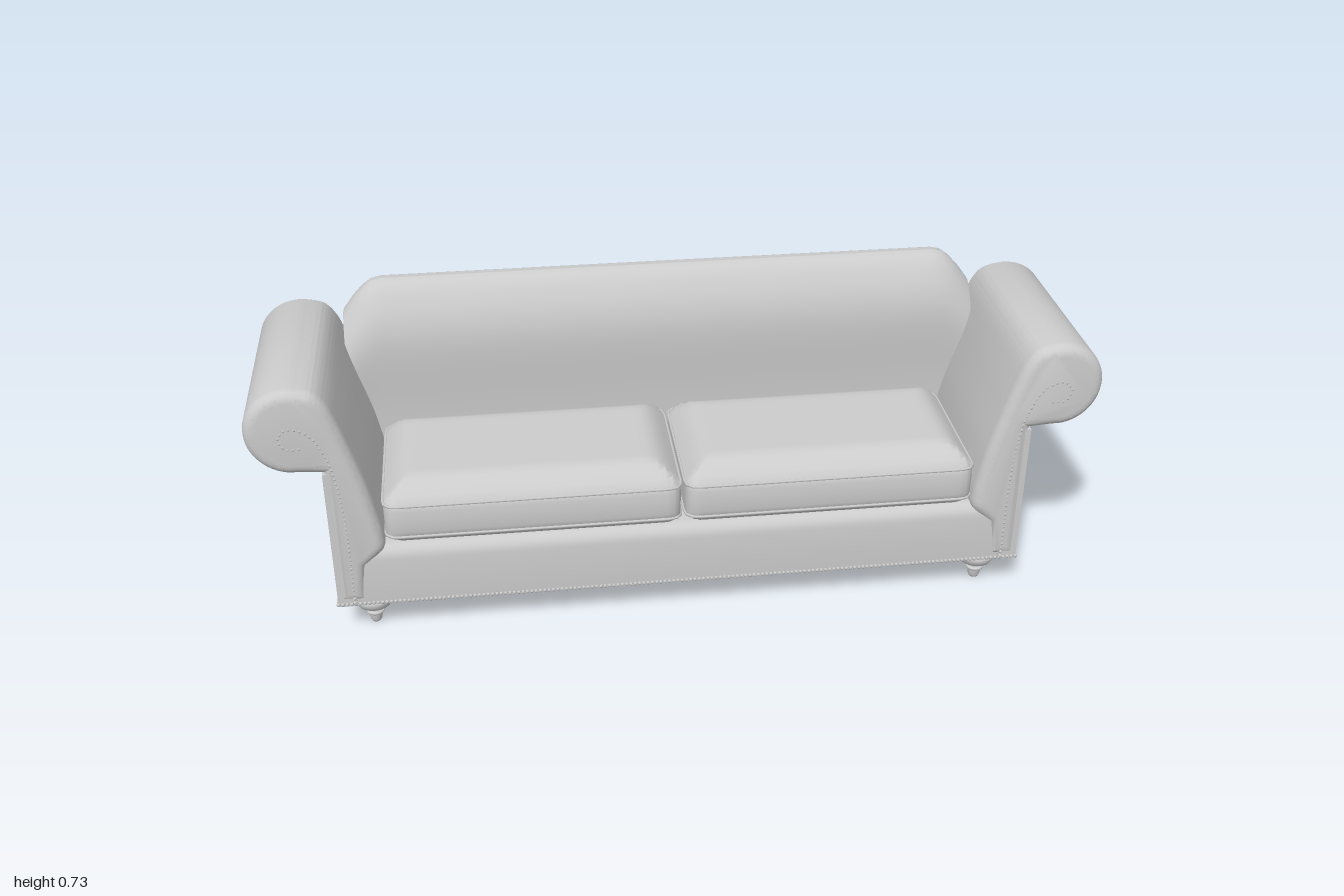
import * as THREE from 'three';
import { mergeGeometries, toCreasedNormals } from 'three/addons/utils/BufferGeometryUtils.js';

const material = new THREE.MeshStandardMaterial({ color: 0xcccccc });

function add(parent, name, geometry) {
  const mesh = new THREE.Mesh(geometry, material);
  mesh.name = name;
  parent.add(mesh);
  return mesh;
}

function box(x0, x1, y0, y1, z0, z1) {
  return new THREE.BoxGeometry(x1 - x0, y1 - y0, z1 - z0)
    .translate((x0 + x1) / 2, (y0 + y1) / 2, (z0 + z1) / 2);
}

const vectors = (points, s = 1) => points.map(([x, y]) => new THREE.Vector2(s * x, y));

// Extrude a (z, y) profile along x, centred on x = 0
function extrudeAcross(points, width, steps) {
  const shape = new THREE.Shape(points.map(([z, y]) => new THREE.Vector2(-z, y)));
  return new THREE.ExtrudeGeometry(shape, { depth: width, steps, bevelEnabled: false })
    .translate(0, 0, -width / 2).rotateY(Math.PI / 2);
}

function moveVertices(geometry, rule) {
  const p = geometry.attributes.position;
  const v = new THREE.Vector3();
  for (let i = 0; i < p.count; i++) {
    rule(v.fromBufferAttribute(p, i));
    p.setXYZ(i, v.x, v.y, v.z);
  }
  return geometry;
}

// Row of round nail heads at even spacing along a curve
function nailRow(curve, spacing = 0.0105) {
  const nails = [];
  const n = Math.round(curve.getLength() / spacing);
  for (const p of curve.getSpacedPoints(n)) {
    nails.push(new THREE.SphereGeometry(0.0048, 6, 4).translate(p.x, p.y, p.z));
  }
  return mergeGeometries(nails);
}

// Scroll-shaped arm with rolled top; s = 1 for left, -1 for right
function makeArm(s) {
  const arm = new THREE.Group();
  arm.name = s > 0 ? 'leftArm' : 'rightArm';

  const roll = [];
  for (let a = -95; a <= 100; a += 15) {
    const t = THREE.MathUtils.degToRad(a);
    roll.push([0.893 + 0.107 * Math.cos(t), 0.573 + 0.108 * Math.sin(t)]);
  }
  const inner = [[0.835, 0.668], [0.808, 0.635], [0.785, 0.575], [0.762, 0.5], [0.738, 0.415],
    [0.722, 0.34], [0.712, 0.28], [0.715, 0.24], [0.755, 0.2]];
  const shape = new THREE.Shape();
  shape.moveTo(s * 0.834, 0.1);
  shape.lineTo(s * 0.834, 0.462);
  shape.splineThru(vectors([...roll, ...inner], s));
  shape.lineTo(s * 0.765, 0.1);
  const body = new THREE.ExtrudeGeometry(shape, {
    depth: 0.455, curveSegments: 60, bevelThickness: 0.027, bevelSize: 0.027,
    bevelOffset: -0.027, bevelSegments: 5,
  });
  // The rear edge is rounded less deeply than the front one
  moveVertices(body, (v) => { if (v.z < 0) v.z *= 0.4; });
  add(arm, 'armBody', toCreasedNormals(body.translate(0, 0, -0.228), 0.6));

  const wall = s > 0 ? [0.79, 0.835] : [-0.835, -0.79];
  add(arm, 'armOuterWall', box(...wall, 0.09, 0.462, -0.238, 0.25));

  // Raised scroll strip on the rear face
  const outerEdge = [[0.775, 0.215], [0.79, 0.4], [0.805, 0.5], [0.835, 0.585], [0.875, 0.62],
    [0.93, 0.61], [0.95, 0.565]];
  const innerEdge = [[0.985, 0.56], [0.965, 0.625], [0.91, 0.665], [0.85, 0.655], [0.812, 0.62],
    [0.782, 0.545], [0.745, 0.4], [0.732, 0.3], [0.728, 0.215]];
  const strip = new THREE.Shape();
  strip.moveTo(s * 0.775, 0.215);
  strip.splineThru(vectors(outerEdge.slice(1), s));
  strip.lineTo(s * 0.985, 0.56);
  strip.splineThru(vectors(innerEdge.slice(1), s));
  const stripGeometry = new THREE.ExtrudeGeometry(strip, {
    depth: 0.008, curveSegments: 36, bevelThickness: 0.006, bevelSize: 0.006,
    bevelOffset: -0.006, bevelSegments: 3,
  }).translate(0, 0, -0.242);
  add(arm, 'rearScrollStrip', toCreasedNormals(stripGeometry, 0.7));

  // Nail heads following the front scroll
  const path = [[0.795, 0.1], [0.795, 0.3], [0.803, 0.42], [0.822, 0.51], [0.856, 0.572],
    [0.9, 0.588], [0.922, 0.565], [0.908, 0.538], [0.878, 0.536]];
  const curve = new THREE.CatmullRomCurve3(path.map(([x, y]) => new THREE.Vector3(s * x, y, 0.251)));
  add(arm, 'scrollNails', nailRow(curve, 0.0125));
  return arm;
}

// Crowned seat cushion with piped edges
function makeCushion(s) {
  const cushion = new THREE.Group();
  cushion.name = s > 0 ? 'leftCushion' : 'rightCushion';
  const w = 0.352, d = 0.193, band = 0.042, r = 0.03;
  const outline = new THREE.Shape();
  outline.moveTo(-w + r, -d);
  outline.lineTo(w - r, -d).quadraticCurveTo(w, -d, w, -d + r);
  outline.lineTo(w, d - r).quadraticCurveTo(w, d, w - r, d);
  outline.lineTo(-w + r, d).quadraticCurveTo(-w, d, -w, d - r);
  outline.lineTo(-w, -d + r).quadraticCurveTo(-w, -d, -w + r, -d);

  const pad = new THREE.BoxGeometry(2 * w, 2 * band, 2 * d, 40, 6, 24);
  moveVertices(pad, (v) => {
    const edge = Math.min(w - Math.abs(v.x), d - Math.abs(v.z));
    const t = Math.min(edge / 0.07, 1);
    const side = 1 - (v.y / band) ** 2;
    // Round the corners in plan, then swell the sides and crown the faces
    const cx = Math.max(Math.abs(v.x) - (w - r), 0), cz = Math.max(Math.abs(v.z) - (d - r), 0);
    const length = Math.hypot(cx, cz);
    if (length > 0) {
      const k = Math.max(cx, cz) / length;
      v.x = Math.sign(v.x) * (Math.min(Math.abs(v.x), w - r) + cx * k);
      v.z = Math.sign(v.z) * (Math.min(Math.abs(v.z), d - r) + cz * k);
    }
    if (edge < 1e-5) v.z *= 1 + 0.02 * side;
    if (Math.abs(v.y) > band - 1e-5) v.y += Math.sign(v.y) * 0.05 * Math.sin(t * Math.PI / 2);
  });
  add(cushion, 'cushionPad', toCreasedNormals(pad, 0.7));

  const loop = outline.getSpacedPoints(80).slice(0, -1);
  for (const y of [-band, band]) {
    const path = new THREE.CatmullRomCurve3(loop.map((p) => new THREE.Vector3(p.x, y, p.y)), true);
    add(cushion, 'cushionPiping', new THREE.TubeGeometry(path, 120, 0.004, 6, true));
  }
  cushion.position.set(s * 0.357, 0.315, 0.05);
  return cushion;
}

export function createModel() {
  const sofa = new THREE.Group();
  sofa.name = 'sofa';

  // Base with a softly rounded front rail
  const rail = [[-0.237, 0.09], [0.247, 0.09], [0.249, 0.15], [0.247, 0.2]];
  for (let i = 0; i <= 6; i++) {
    const a = (i / 6) * Math.PI / 2;
    rail.push([0.215 + 0.031 * Math.cos(a), 0.214 + 0.036 * Math.sin(a)]);
  }
  rail.push([-0.237, 0.25]);
  add(sofa, 'base', toCreasedNormals(extrudeAcross(rail, 1.6, 1), 0.6));

  // Backrest: rolled top, shoulders dropping at both ends, rear bowed outward
  const outline = new THREE.SplineCurve(vectors([[-0.15, 0.22], [-0.146, 0.4], [-0.136, 0.56],
    [-0.145, 0.64], [-0.172, 0.7], [-0.2, 0.731], [-0.222, 0.733], [-0.237, 0.722],
    [-0.241, 0.64], [-0.241, 0.42], [-0.239, 0.22]]));
  const back = extrudeAcross(outline.getPoints(50).map((p) => [p.x, p.y]), 1.58, 64);
  moveVertices(back, (v) => {
    const t = Math.max(0, (Math.abs(v.x) - 0.7) / 0.09);
    const height = (v.y - 0.22) / 0.515;
    if (v.z < -0.225) {
      v.z -= 0.015 * (1 - (v.x / 0.79) ** 2) * Math.sin(Math.PI * Math.min(Math.max(height, 0), 1)) ** 0.6;
    }
    v.y -= 0.085 * Math.pow(t, 1.6) * Math.max(height, 0);
  });
  add(sofa, 'backrest', toCreasedNormals(back, 0.6));

  for (const s of [1, -1]) {
    sofa.add(makeArm(s), makeCushion(s));
  }

  // Nail trim around the bottom edge
  const corners = [[-0.835, 0.25], [0.835, 0.25], [0.835, -0.238], [-0.835, -0.238]]
    .map(([x, z]) => new THREE.Vector3(x, 0.096, z));
  corners.forEach((corner, i) => {
    add(sofa, 'bottomNails', nailRow(new THREE.LineCurve3(corner, corners[(i + 1) % 4])));
  });

  // Turned feet
  const foot = new THREE.LatheGeometry(vectors([[0, 0], [0.011, 0], [0.014, 0.006], [0.017, 0.022],
    [0.017, 0.025], [0.021, 0.026], [0.022, 0.029], [0.021, 0.032], [0.016, 0.033], [0.016, 0.042],
    [0.028, 0.045], [0.041, 0.054], [0.048, 0.066], [0.048, 0.075], [0.043, 0.085], [0.034, 0.092],
    [0, 0.093]]), 28);
  for (const x of [-0.755, 0.755]) {
    for (const z of [-0.185, 0.185]) add(sofa, 'foot', foot).position.set(x, 0, z);
  }
  return sofa;
}
